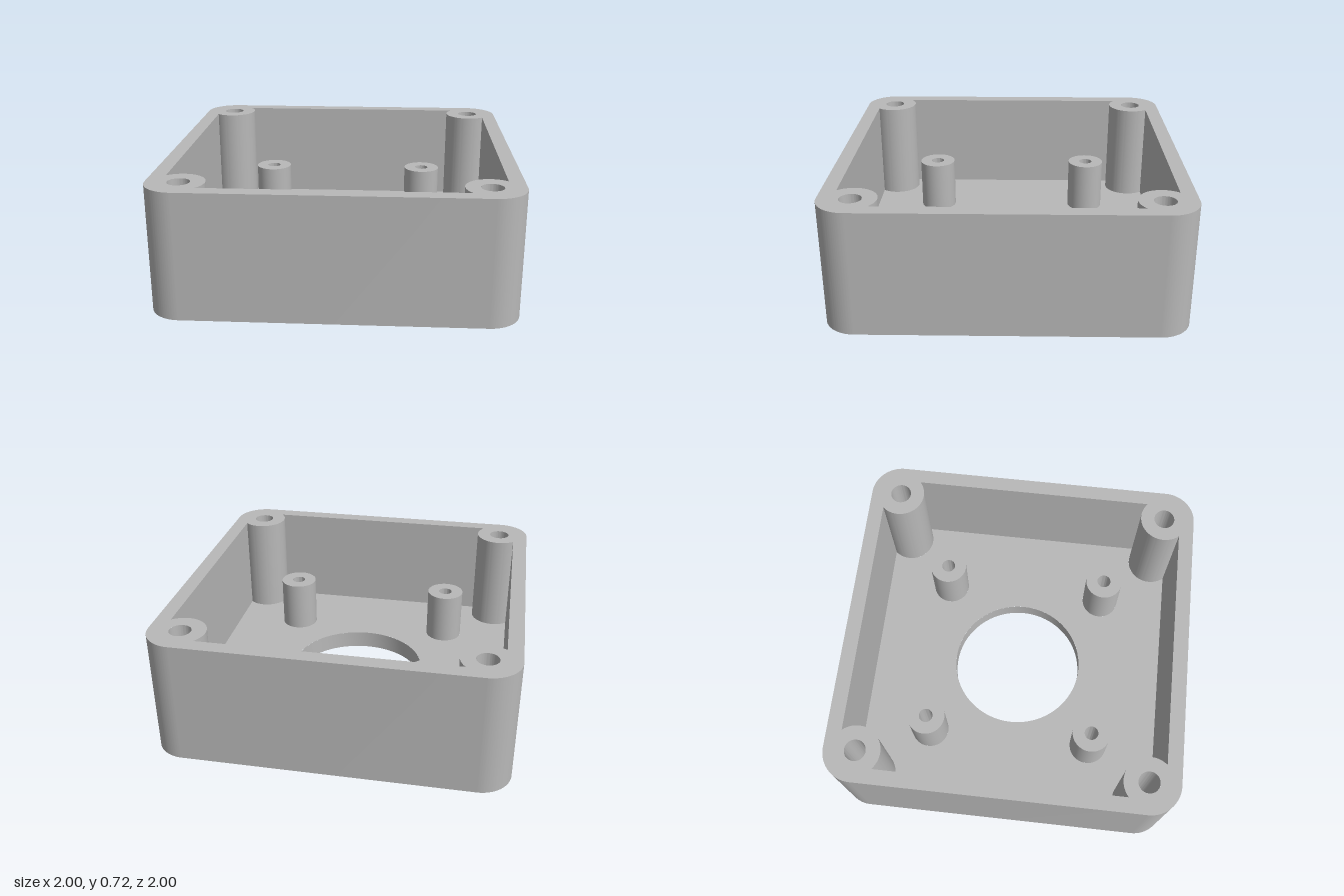
import * as THREE from 'three';
import { toCreasedNormals } from 'three/addons/utils/BufferGeometryUtils.js';

const H = 0.717, FLOOR = 0.107, STANDOFF_TOP = 0.42, BORE_TOP = 0.16;
const CORNER = 0.18, INNER = 0.914, CENTER_R = 0.4;
const POST = 0.82, POST_R = 0.143, SCREW_R = 0.061, BORE_R = 0.107;
const STAND = 0.5, STAND_R = 0.113, PILOT_R = 0.041;
const SEG = 64;

const corners = (d) => [[d, d], [-d, d], [-d, -d], [d, -d]];

const circle = (x, y, r) => new THREE.Path().absarc(x, y, r, 0, Math.PI * 2, false);

// Rounded square outline of the box
function outerShape() {
  const s = new THREE.Shape(), c = 1 - CORNER;
  corners(c).forEach(([x, y], k) =>
    s.absarc(x, y, CORNER, k * Math.PI / 2, (k + 1) * Math.PI / 2, false));
  s.closePath();
  return s;
}

// Cavity outline: a square with the screw posts biting into its corners
function cavityShape() {
  const s = new THREE.Shape(), e = INNER - POST;
  const d = Math.sqrt(POST_R * POST_R - e * e);
  const a0 = Math.atan2(-d, e), a1 = Math.atan2(e, -d) - Math.PI * 2;
  corners(POST).forEach(([x, y], k) =>
    s.absarc(x, y, POST_R, a0 + k * Math.PI / 2, a1 + k * Math.PI / 2, true));
  s.closePath();
  return s;
}

// Flat horizontal face, looking up or down
function face(shape, holes, y, up) {
  shape.holes.push(...holes);
  const g = new THREE.ShapeGeometry(shape, SEG);
  g.rotateX(up ? -Math.PI / 2 : Math.PI / 2);
  g.translate(0, y, 0);
  return g;
}

// Vertical strip along an outline, facing out or into the cavity
function strip(shape, y0, y1, inward) {
  const pts = shape.getPoints(24);
  if (inward) pts.reverse();
  const pos = [];
  pts.forEach((a, i) => {
    const b = pts[(i + 1) % pts.length];
    if (a.distanceTo(b) < 1e-6) return;
    pos.push(a.x, y0, -a.y, b.x, y0, -b.y, b.x, y1, -b.y);
    pos.push(a.x, y0, -a.y, b.x, y1, -b.y, a.x, y1, -a.y);
  });
  const g = new THREE.BufferGeometry();
  g.setAttribute('position', new THREE.Float32BufferAttribute(pos, 3));
  return toCreasedNormals(g, 0.5);
}

function turned(profile) {
  const pts = profile.map(([r, y]) => new THREE.Vector2(r, y));
  return toCreasedNormals(new THREE.LatheGeometry(pts, SEG), 0.5);
}

export function createModel() {
  const model = new THREE.Group();
  model.name = 'enclosure';
  const grey = new THREE.MeshStandardMaterial({ color: 0xb8b8b8 });
  grey.name = 'grey plastic';

  const add = (name, geometry, x = 0, z = 0) => {
    const mesh = new THREE.Mesh(geometry, grey);
    mesh.name = name;
    mesh.position.set(x, 0, z);
    model.add(mesh);
  };

  // Shell
  add('outerWall', strip(outerShape(), 0, H, false));
  add('innerWall', strip(cavityShape(), FLOOR, H, true));
  add('rim', face(outerShape(),
    [cavityShape(), ...corners(POST).map(([x, y]) => circle(x, y, SCREW_R))], H, true));
  add('underside', face(outerShape(),
    [circle(0, 0, CENTER_R), ...corners(POST).map(([x, y]) => circle(x, y, BORE_R))], 0, false));
  add('floor', face(cavityShape(),
    [circle(0, 0, CENTER_R), ...corners(STAND).map(([x, y]) => circle(x, y, STAND_R))], FLOOR, true));
  add('centreOpening', turned([[CENTER_R, FLOOR], [CENTER_R, 0]]));

  // Counterbored screw holes through the corner posts
  const bore = turned([[SCREW_R, H], [SCREW_R, BORE_TOP], [BORE_R, BORE_TOP], [BORE_R, 0]]);
  corners(POST).forEach(([x, z]) => add('screwHole', bore, x, z));

  // Standoffs with pilot holes
  const standoff = turned([[STAND_R, FLOOR], [STAND_R, STANDOFF_TOP],
    [PILOT_R, STANDOFF_TOP], [PILOT_R, FLOOR], [0, FLOOR]]);
  corners(STAND).forEach(([x, z]) => add('standoff', standoff, x, z));

  return model;
}
